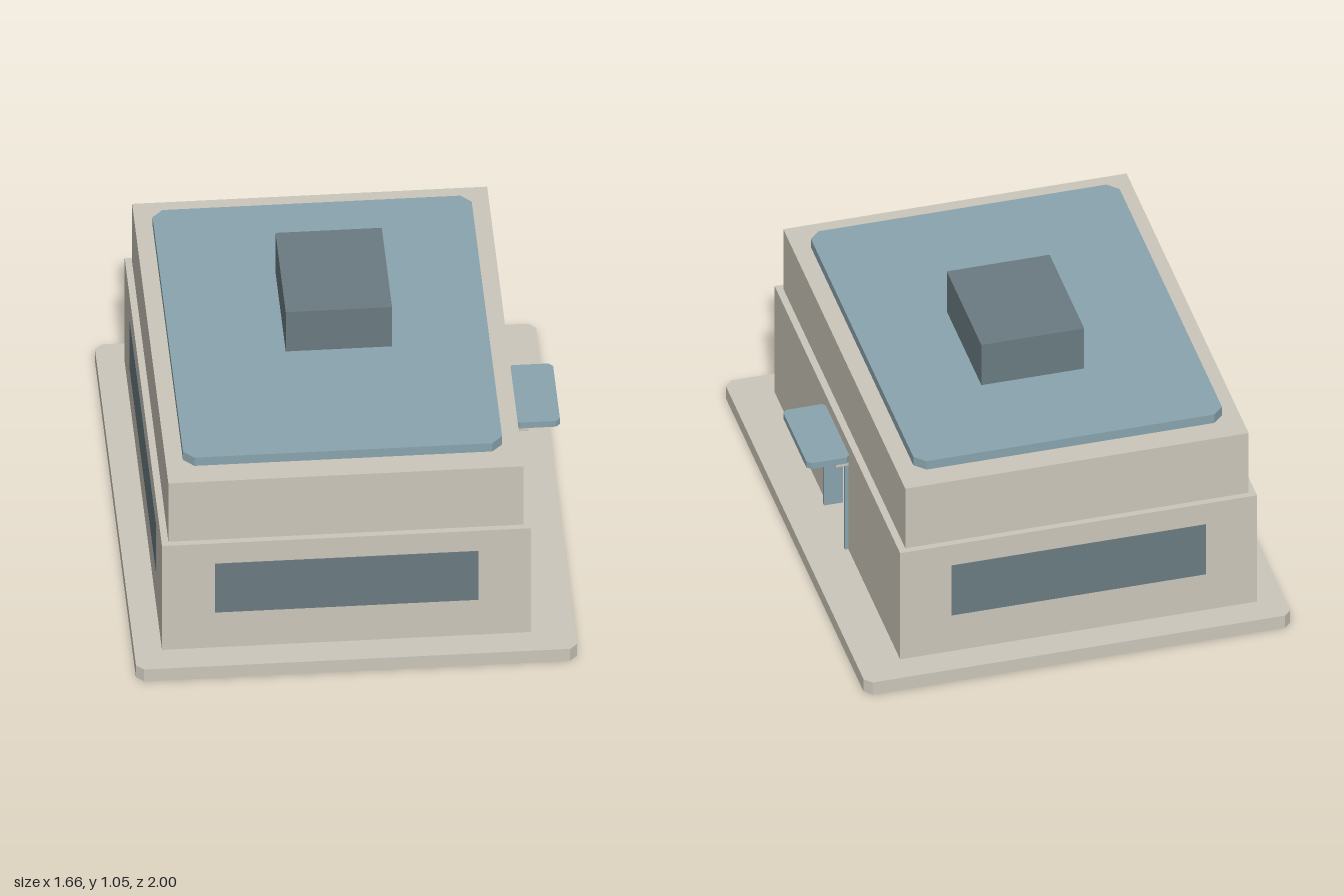
import * as THREE from 'three';

const mat = (name, color) => {
  const m = new THREE.MeshStandardMaterial({ color });
  m.name = name;
  return m;
};

export function createModel() {
  const concrete = mat('warm concrete', 0xcbc6ba);
  const blue = mat('blue grey trim', 0x89a4ad);
  const slate = mat('dark slate', 0x6a7b81);
  const model = new THREE.Group();
  model.name = 'building';

  const add = (name, geometry, material, parent = model) => {
    const mesh = new THREE.Mesh(geometry, material);
    mesh.name = name;
    parent.add(mesh);
    return mesh;
  };

  // Box given by its limits on each axis
  const box = (name, material, [x0, x1], [y0, y1], [z0, z1], parent) => {
    const mesh = add(name, new THREE.BoxGeometry(x1 - x0, y1 - y0, z1 - z0), material, parent);
    mesh.position.set((x0 + x1) / 2, (y0 + y1) / 2, (z0 + z1) / 2);
    return mesh;
  };

  // Flat slab with cut corners
  const slab = (name, material, [x0, x1], [y0, y1], [z0, z1], c, parent) => {
    const w = (x1 - x0) / 2, d = (z1 - z0) / 2;
    const shape = new THREE.Shape([
      [c - w, -d], [w - c, -d], [w, c - d], [w, d - c],
      [w - c, d], [c - w, d], [-w, d - c], [-w, c - d],
    ].map(([x, y]) => new THREE.Vector2(x, y)));
    const geometry = new THREE.ExtrudeGeometry(shape, { depth: y1 - y0, bevelEnabled: false });
    geometry.rotateX(-Math.PI / 2);
    const mesh = add(name, geometry, material, parent);
    mesh.position.set((x0 + x1) / 2, y0, (z0 + z1) / 2);
    return mesh;
  };

  slab('base', concrete, [-0.83, 0.83], [0, 0.056], [-1, 1], 0.028);

  // Hollow lower storey
  const X0 = -0.725, X1 = 0.664, Z = 0.885, T = 0.06, Y = [0.056, 0.548];
  const walls = new THREE.Group();
  walls.name = 'lowerWalls';
  model.add(walls);
  box('frontWall', concrete, [X0, X1], Y, [Z - T, Z], walls);
  box('backWall', concrete, [X0, X1], Y, [-Z, T - Z], walls);
  box('rightWall', concrete, [X0, X0 + T], Y, [T - Z, Z - T], walls);

  // Entrance wall with an open doorway
  const h = Z - T, doorHalf = 0.155, doorTop = 0.445;
  const doorWall = new THREE.Shape([
    [-h, Y[0]], [-doorHalf, Y[0]], [-doorHalf, doorTop], [doorHalf, doorTop],
    [doorHalf, Y[0]], [h, Y[0]], [h, Y[1]], [-h, Y[1]],
  ].map(([x, y]) => new THREE.Vector2(x, y)));
  const doorWallGeometry = new THREE.ExtrudeGeometry(doorWall, { depth: T, bevelEnabled: false });
  doorWallGeometry.rotateY(-Math.PI / 2);
  add('entranceWall', doorWallGeometry, concrete, walls).position.x = X1;

  // Upper storey and roof
  box('upperStorey', concrete, [-0.699, 0.637], [0.547, 0.824], [-0.86, 0.86]);
  slab('roofSlab', blue, [-0.633, 0.568], [0.824, 0.863], [-0.763, 0.76], 0.04);
  box('roofUnit', slate, [-0.2, 0.2], [0.863, 1.049], [-0.35, 0.138]);

  // Window strips on front, back and right sides
  const P = 0.002, wy = [0.222, 0.453];
  box('frontWindow', slate, [-0.526, 0.465], wy, [Z - P, Z + P]);
  box('backWindow', slate, [-0.526, 0.465], wy, [-Z - P, P - Z]);
  box('rightWindow', slate, [X0 - P, X0 + P], wy, [-0.63, 0.63]);

  // Entrance: door posts, lintel and canopy
  const entrance = new THREE.Group();
  entrance.name = 'entrance';
  model.add(entrance);
  for (const s of [-1, 1]) {
    const post = box('doorPost', blue, [0.604, 0.677], [0.056, 0.445], [-0.008, 0.008], entrance);
    post.position.z = s * 0.146;
  }
  box('lintel', concrete, [0.65, 0.712], [0.444, 0.473], [-0.155, 0.155], entrance);
  slab('canopy', blue, [0.66, 0.83], [0.473, 0.5], [-0.179, 0.175], 0.016, entrance);

  return model;
}
